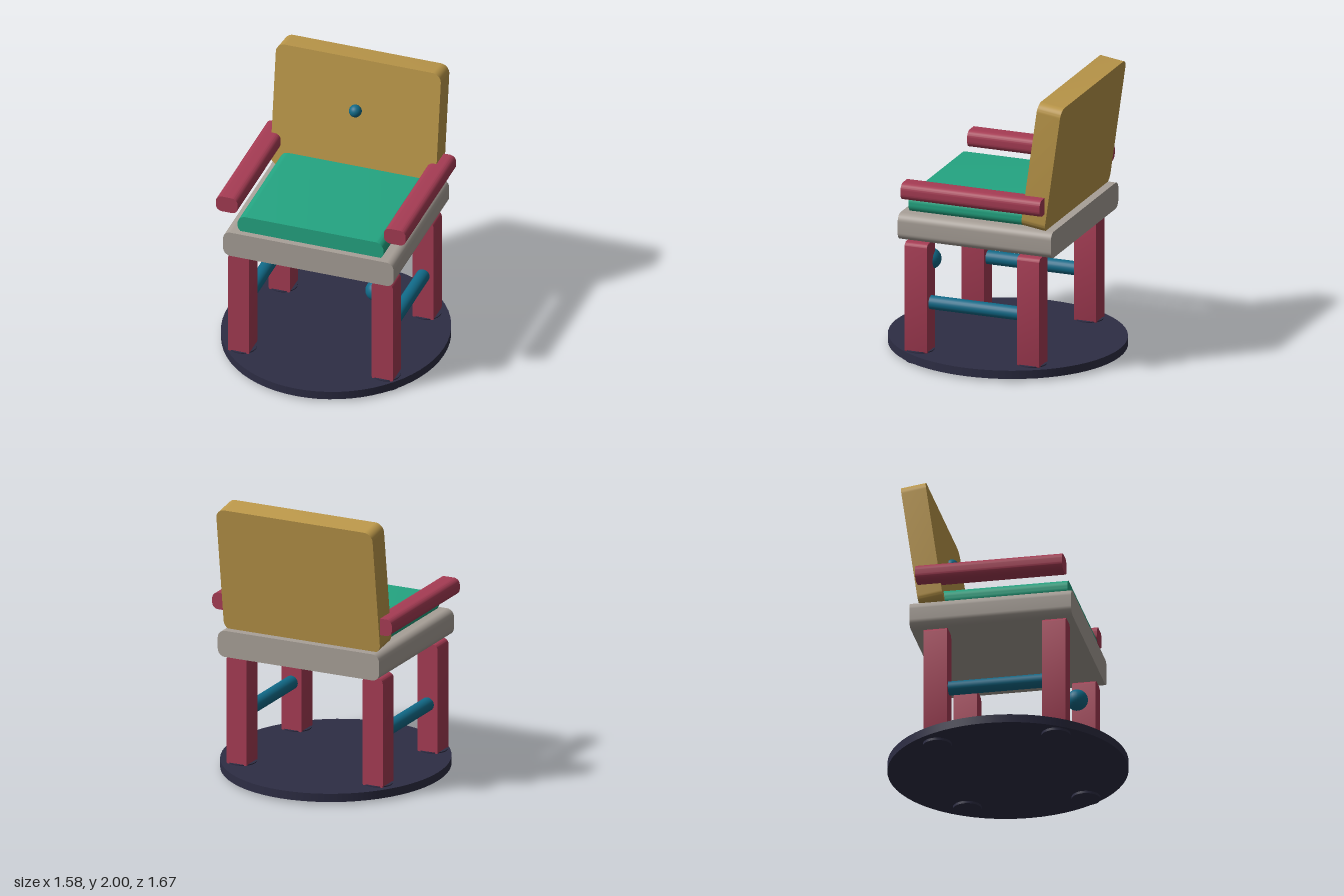
import * as THREE from 'three';
import { toCreasedNormals } from 'three/addons/utils/BufferGeometryUtils.js';

const paint = (name, color) => {
  const m = new THREE.MeshStandardMaterial({ color });
  m.name = name;
  return m;
};

// Bar with a rounded-rectangle section in x/y, extruded along z and centred
function roundedBar(w, h, d, r) {
  const x = w / 2, y = h / 2;
  const s = new THREE.Shape();
  s.absarc(x - r, y - r, r, 0, Math.PI / 2);
  s.absarc(-x + r, y - r, r, Math.PI / 2, Math.PI);
  s.absarc(-x + r, -y + r, r, Math.PI, Math.PI * 1.5);
  s.absarc(x - r, -y + r, r, Math.PI * 1.5, Math.PI * 2);
  s.closePath();
  const g = new THREE.ExtrudeGeometry(s, { depth: d, bevelEnabled: false, curveSegments: 6 });
  g.translate(0, 0, -d / 2);
  return toCreasedNormals(g, 0.6);
}

export function createModel() {
  const group = new THREE.Group();
  group.name = 'armchair';

  const gold = paint('gold', 0xbc984a);
  const green = paint('green', 0x24a582);
  const red = paint('red', 0xa63c54);
  const grey = paint('warmGrey', 0xa8a098);
  const blue = paint('blue', 0x116a88);
  const navy = paint('navy', 0x2d2d44);

  const add = (name, geometry, material, x, y, z) => {
    const mesh = new THREE.Mesh(geometry, material);
    mesh.name = name;
    mesh.position.set(x, y, z);
    group.add(mesh);
    return mesh;
  };

  // Oval base plate
  const base = add('basePlate', new THREE.CylinderGeometry(1, 1, 0.06, 64), navy, 0, 0.05, 0);
  base.scale.set(0.79, 1, 0.835);

  // Seat and cushion
  add('seat', roundedBar(1.25, 0.19, 1.14, 0.055), grey, 0, 0.98, 0);
  add('cushion', roundedBar(1.07, 0.135, 0.93, 0.06), green, 0, 1.1275, 0.06);

  // Leaning backrest with a button
  const back = add('backrest', roundedBar(1.21, 0.92, 0.176, 0.065), gold, 0, 1.532, -0.4875);
  back.rotation.x = -0.14;
  add('backButton', new THREE.SphereGeometry(0.045, 24, 16), blue, 0, 1.615, -0.395);

  // Legs, feet, side rails and armrests on both sides
  const legGeo = roundedBar(0.156, 0.81, 0.166, 0.035);
  const footGeo = new THREE.CylinderGeometry(0.1, 0.1, 0.085, 32);
  const railGeo = new THREE.CylinderGeometry(0.049, 0.049, 0.72, 24).rotateX(Math.PI / 2);
  const armGeo = roundedBar(0.16, 0.12, 1.035, 0.045);
  for (const [side, sx] of [['left', 1], ['right', -1]]) {
    for (const [end, z] of [['Front', 0.444], ['Back', -0.392]]) {
      add(side + end + 'Leg', legGeo, red, sx * 0.527, 0.465, z);
      add(side + end + 'Foot', footGeo, navy, sx * 0.527, 0.0445, z);
    }
    add(side + 'Rail', railGeo, blue, sx * 0.527, 0.432, 0.026);
    add(side + 'Armrest', armGeo, red, sx * 0.616, 1.264, 0.0025);
  }

  // Round knob on the inside of the left front leg
  add('legKnob', new THREE.SphereGeometry(0.075, 24, 16), blue, 0.436, 0.718, 0.4);

  return group;
}
